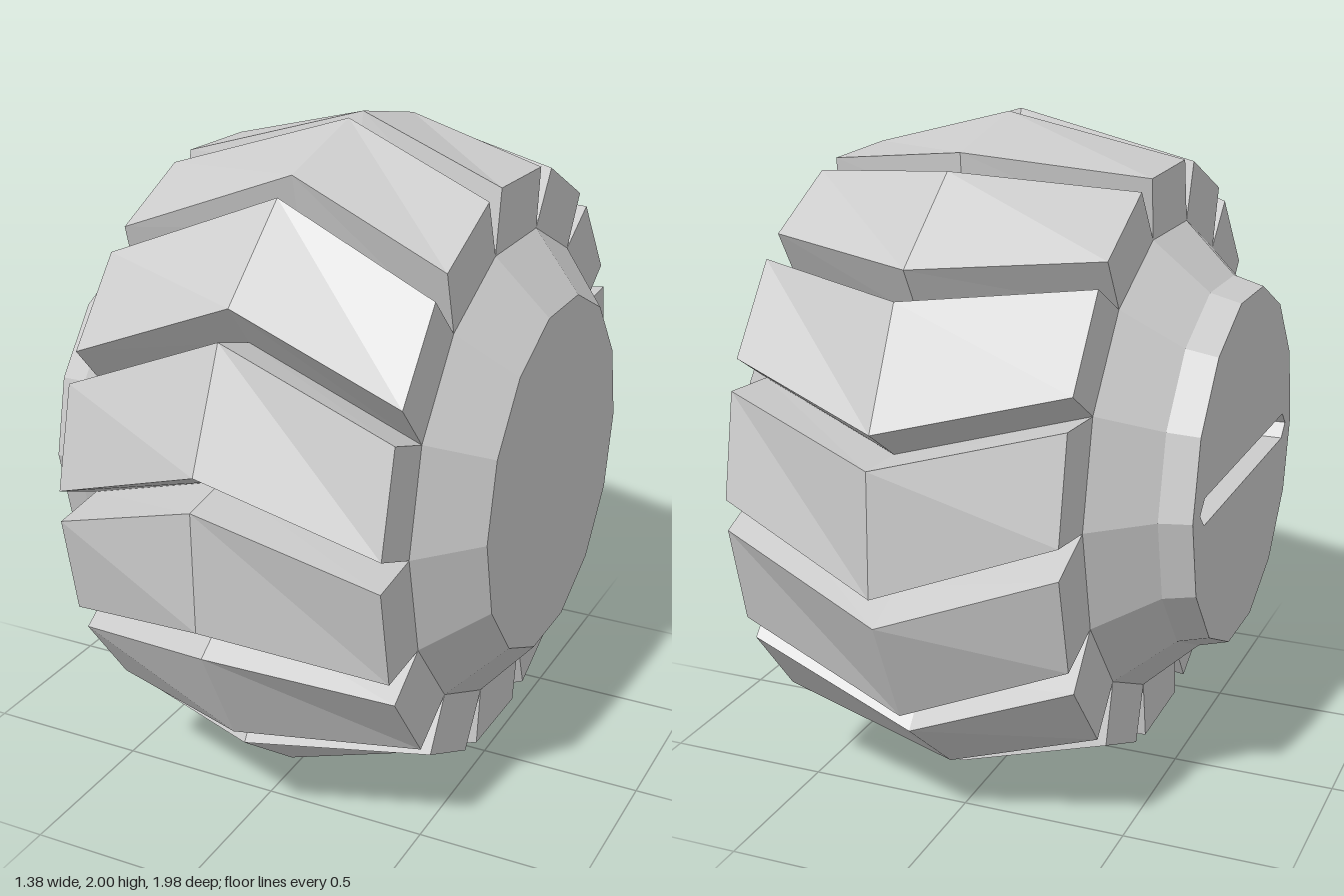
import * as THREE from 'three';

const SIDES = 14;
const STEP = (Math.PI * 2) / SIDES;
const AXLE_Y = 1;
const rad = THREE.MathUtils.degToRad;

const material = new THREE.MeshStandardMaterial({ color: 0xcccccc, flatShading: true });

// Point on the wheel: x along the axle, radius r, angle a from -z towards +y
const polar = (x, r, a) => [x, AXLE_Y + r * Math.sin(a), -r * Math.cos(a)];

// Flat-faced skin over a row of matching cross-sections, with optional end caps
function loft(rings, capStart, capEnd) {
  const pos = [];
  const fan = (ring) => {
    for (let j = 1; j < ring.length - 1; j++) pos.push(...ring[0], ...ring[j], ...ring[j + 1]);
  };
  for (let i = 0; i < rings.length - 1; i++) {
    const p = rings[i], q = rings[i + 1], n = p.length;
    for (let j = 0; j < n; j++) {
      const k = (j + 1) % n;
      pos.push(...p[j], ...p[k], ...q[k], ...p[j], ...q[k], ...q[j]);
    }
  }
  if (capStart) fan([...rings[0]].reverse());
  if (capEnd) fan(rings[rings.length - 1]);
  const geo = new THREE.BufferGeometry();
  geo.setAttribute('position', new THREE.Float32BufferAttribute(pos, 3));
  geo.computeVertexNormals();
  return geo;
}

function add(parent, name, geometry) {
  const mesh = new THREE.Mesh(geometry, material);
  mesh.name = name;
  parent.add(mesh);
  return mesh;
}

// Regular ring of the wheel core, flat side up
function coreRing(x, r) {
  return Array.from({ length: SIDES }, (_, j) => polar(x, r, Math.PI / 2 + (j - 0.5) * STEP));
}

// One chevron tread block: the crest is taller and swept round from the edges
function treadBlock() {
  const section = (x, innerR, innerMid, outerR, outerMid, outerHalf) => {
    const im = rad(innerMid), om = rad(outerMid), oh = rad(outerHalf);
    return [
      polar(x, innerR, im - STEP / 2),
      polar(x, outerR, om - oh),
      polar(x, outerR, om + oh),
      polar(x, innerR, im + STEP / 2),
    ];
  };
  return loft([
    section(-0.44, 0.70, 90, 0.875, 88.3, 9.9),
    section(0.05, 0.84, 77.7, 1.0, 78.4, 10.2),
    section(0.54, 0.70, 90, 0.875, 88.3, 9.9),
  ], true, true);
}

export function createModel() {
  const wheel = new THREE.Group();
  wheel.name = 'wheel';

  // Tyre core and sidewalls, with the plain outer face closed
  add(wheel, 'core', loft([
    coreRing(-0.69, 0.528),
    coreRing(-0.60, 0.553),
    coreRing(-0.44, 0.70),
    coreRing(0.54, 0.70),
    coreRing(0.69, 0.528),
  ], false, true));

  // Slot outline as (z, y): a long bar with chamfered ends
  const slot = [
    [-0.46, 1], [-0.42, 1.04], [0.42, 1.04],
    [0.46, 1], [0.42, 0.96], [-0.42, 0.96],
  ];

  // Inner face with the slot cut through it
  const face = new THREE.Shape(coreRing(-0.69, 0.528).map(([, y, z]) => new THREE.Vector2(z, y)));
  face.holes.push(new THREE.Path(slot.map(([z, y]) => new THREE.Vector2(z, y))));
  const faceGeo = new THREE.ShapeGeometry(face).rotateY(-Math.PI / 2).translate(-0.69, 0, 0);
  add(wheel, 'slottedFace', faceGeo);

  // Walls and floor of the slot, facing inwards
  const slotRing = (x) => [...slot].reverse().map(([z, y]) => [x, y, z]);
  add(wheel, 'slot', loft([slotRing(-0.69), slotRing(-0.57)], false, true));

  // Tread blocks repeated round the axle
  const treads = new THREE.Group();
  treads.name = 'treads';
  const blockGeo = treadBlock().translate(0, -AXLE_Y, 0);
  for (let i = 0; i < SIDES; i++) {
    const block = add(treads, 'treadBlock', blockGeo);
    block.rotation.x = i * STEP;
  }
  treads.position.y = AXLE_Y;
  wheel.add(treads);

  return wheel;
}
